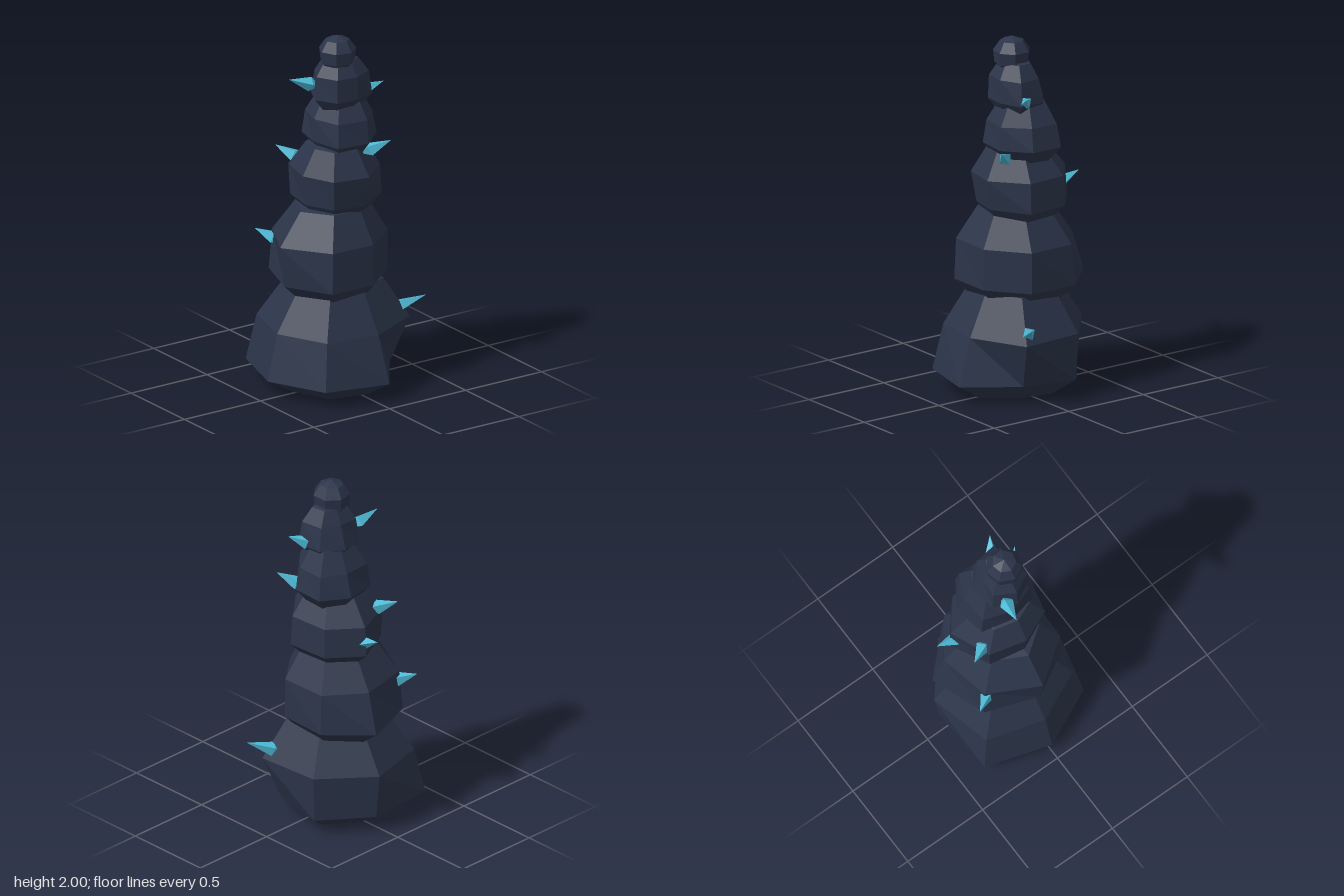
import * as THREE from 'three';

const rock = new THREE.MeshStandardMaterial({ name: 'dark slate', color: 0x2b3449, flatShading: true });
const crystal = new THREE.MeshStandardMaterial({ name: 'cyan crystal', color: 0x4fbcd8, flatShading: true });

const SIDES = 7;

// Boulder: a coarse sphere whose rings are reshaped by per-side radii.
// y = [top ring, upper ring, lower ring, bottom ring]
// twist turns the +x sides (degrees); pinch draws the side corners towards -x
function makeBoulder({ name, at: [cx, cz], y, upper, lower, twist = 0, pinch = 0 }) {
  const geo = new THREE.SphereGeometry(1, SIDES, 5);
  const pos = geo.attributes.position;
  const heights = [y[0] + 0.025, ...y, Math.max(0, y[3] - 0.025)];
  for (let i = 0; i < pos.count; i++) {
    const ring = Math.floor(i / (SIDES + 1));
    const side = (i % (SIDES + 1)) % SIDES;
    const a = (side / SIDES) * Math.PI * 2;
    const turn = twist * Math.max(0, -Math.cos(a)) - pinch * Math.sin(a);
    const phi = a + THREE.MathUtils.degToRad(turn);
    const r = [0, 0.64 * upper[side], upper[side], lower[side], 0.6 * lower[side], 0][ring];
    pos.setXYZ(i, cx - r * Math.cos(phi), heights[ring], cz + r * Math.sin(phi));
  }
  geo.computeVertexNormals();
  const mesh = new THREE.Mesh(geo, rock);
  mesh.name = name;
  return mesh;
}

// Crystal: four-sided spike, widest near its buried end
function makeCrystal(base, tip) {
  const a = new THREE.Vector3(...base);
  const dir = new THREE.Vector3(...tip).sub(a);
  const len = dir.length();
  const profile = [[0, 0], [0.04, len * 0.32], [0, len]].map(p => new THREE.Vector2(...p));
  const mesh = new THREE.Mesh(new THREE.LatheGeometry(profile, 4), crystal);
  mesh.position.copy(a);
  mesh.quaternion.setFromUnitVectors(new THREE.Vector3(0, 1, 0), dir.normalize());
  mesh.name = 'crystal';
  return mesh;
}

export function createModel() {
  const model = new THREE.Group();
  model.name = 'crystalRockSpire';

  // Stacked boulders, bottom to top
  const boulders = [
    { name: 'baseBoulder', at: [0, 0], y: [0.59, 0.36, 0.1, 0], twist: 2, pinch: 5,
      upper: [0.39, 0.38, 0.33, 0.4, 0.38, 0.42, 0.44], lower: [0.45, 0.44, 0.415, 0.29, 0.37, 0.39, 0.5] },
    { name: 'secondBoulder', at: [0, 0], y: [1.03, 0.85, 0.62, 0.49], twist: 10,
      upper: [0.37, 0.31, 0.26, 0.29, 0.33, 0.35, 0.36], lower: [0.34, 0.32, 0.26, 0.29, 0.35, 0.42, 0.38] },
    { name: 'thirdBoulder', at: [0, 0], y: [1.37, 1.23, 1.06, 0.95], twist: 12,
      upper: [0.22, 0.23, 0.23, 0.25, 0.28, 0.31, 0.27], lower: [0.2, 0.2, 0.2, 0.26, 0.29, 0.32, 0.26] },
    { name: 'fourthBoulder', at: [0.05, -0.03], y: [1.65, 1.53, 1.4, 1.3], twist: 5,
      upper: [0.175, 0.2, 0.19, 0.175, 0.195, 0.17, 0.2], lower: [0.175, 0.22, 0.2, 0.2, 0.22, 0.21, 0.22] },
    { name: 'fifthBoulder', at: [0.02, 0], y: [1.86, 1.78, 1.65, 1.57],
      upper: [0.15, 0.145, 0.13, 0.16, 0.14, 0.11, 0.14], lower: [0.16, 0.15, 0.13, 0.18, 0.17, 0.16, 0.16] },
    { name: 'capBoulder', at: [0, 0.01], y: [1.975, 1.92, 1.85, 1.81],
      upper: Array(SIDES).fill(0.103), lower: Array(SIDES).fill(0.095) },
  ];
  boulders.forEach(b => model.add(makeBoulder(b)));

  // Crystals growing out of the rock: [buried end, tip]
  const crystals = new THREE.Group();
  crystals.name = 'crystals';
  [
    [[0.26, 0.39, 0.1], [0.445, 0.475, 0.21]],
    [[0.09, 1.33, 0.11], [0.2, 1.42, 0.23]],
    [[0.12, 1.645, 0.015], [0.245, 1.71, 0.095]],
    [[-0.07, 1.7, -0.055], [-0.25, 1.765, -0.09]],
    [[-0.09, 1.24, -0.18], [-0.18, 1.31, -0.32]],
    [[0.04, 1.11, -0.23], [0.055, 1.18, -0.4]],
    [[-0.19, 0.78, -0.23], [-0.285, 0.84, -0.36]],
  ].forEach(([base, tip]) => crystals.add(makeCrystal(base, tip)));
  model.add(crystals);

  return model;
}
